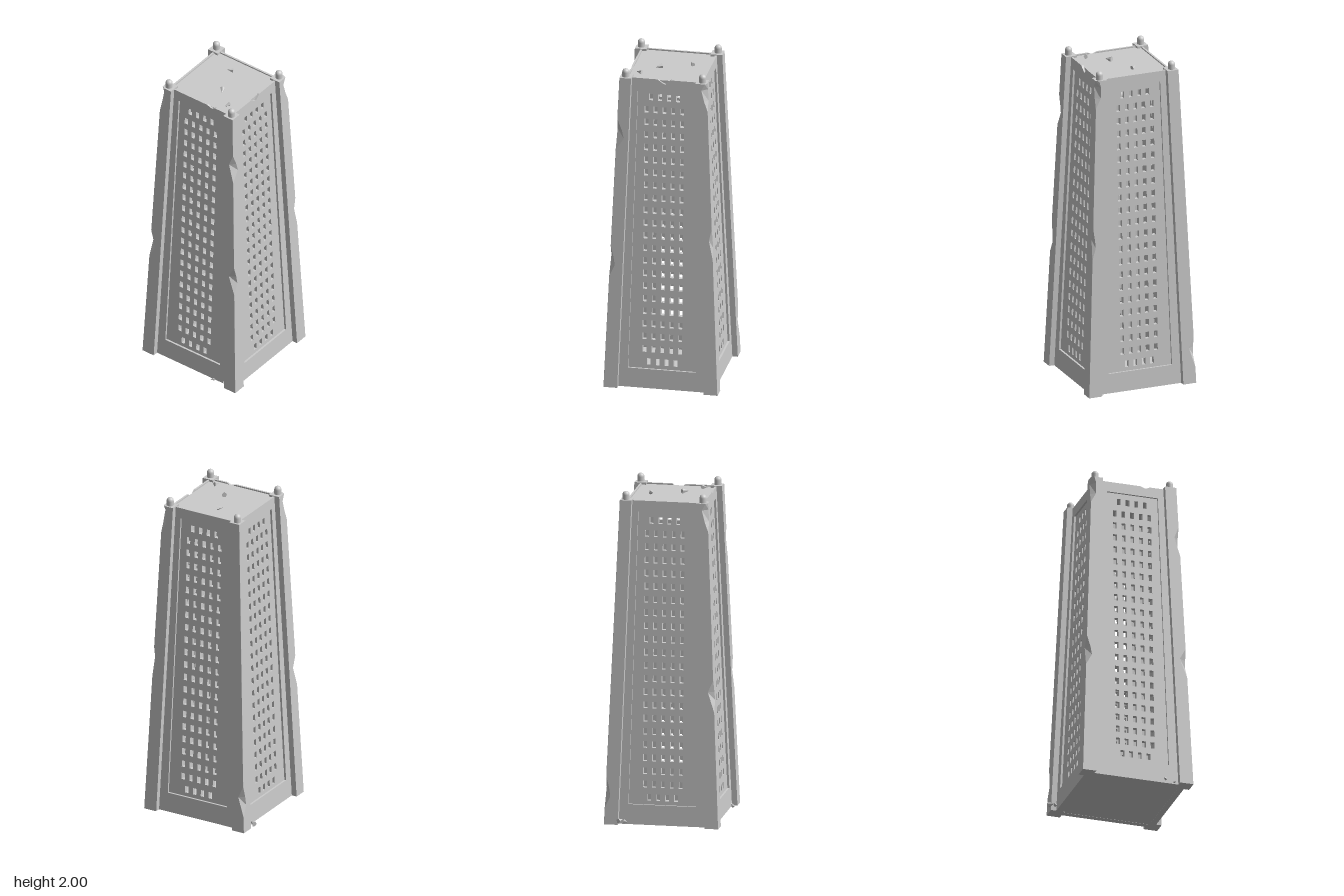
import * as THREE from 'three';

const H = 1.945, PILLAR_TOP = 1.95;
const mat = new THREE.MeshStandardMaterial({ color: 0xcccccc, flatShading: true, side: THREE.DoubleSide });
const smooth = new THREE.MeshStandardMaterial({ color: 0xcccccc });

// half width of the tapering body at height y
const half = y => 0.31 - 0.08 * y / H;
const lerp = (a, b, t) => a + (b - a) * t;

function add(parent, name, geometry, material = mat) {
  const m = new THREE.Mesh(geometry, material);
  m.name = name;
  parent.add(m);
  return m;
}

function polygon(points, Type = THREE.Shape) {
  return new Type(points.map(p => new THREE.Vector2(p[0], p[1])));
}

// extrude a wall layer and lean it along the taper; depth is measured in from the wall face
function leaningLayer(shape, depth, thickness) {
  const g = new THREE.ExtrudeGeometry(shape, { depth: thickness, bevelEnabled: false });
  const p = g.attributes.position;
  for (let i = 0; i < p.count; i++) p.setZ(i, p.getZ(i) + half(p.getY(i)) - depth - thickness);
  g.computeVertexNormals();
  return g;
}

// border around the recessed panel, with an optional chip [x, width, depth] in its top edge
function frameGeometry(chip) {
  const pts = [[-half(0), 0], [half(0), 0], [half(H), H]];
  if (chip) {
    const [x, w, d] = chip;
    pts.push([x + w / 2, H], [x + w * 0.1, H - d], [x - w * 0.2, H - d * 0.6], [x - w / 2, H]);
  }
  pts.push([-half(H), H]);
  const s = polygon(pts);
  s.holes.push(polygon([[-0.203, 0.12], [-0.158, 1.88], [0.158, 1.88], [0.203, 0.12]], THREE.Path));
  return leaningLayer(s, 0, 0.012);
}

// recessed panel pierced by the grid of windows
function panelGeometry() {
  const top = 1.93, a = half(0) - 0.012, b = half(top) - 0.012;
  const s = polygon([[-a, 0], [a, 0], [b, top], [-b, top]]);
  const rows = 22, pitch = 0.0537, w = 0.0115, h = 0.02;
  for (let r = 0; r < rows; r++) {
    const y = lerp(0.163, 1.826, r / (rows - 1));
    const n = r === 0 || r === rows - 1 ? 4 : 5;
    for (let c = 0; c < n; c++) {
      const x = (c - (n - 1) / 2) * pitch;
      s.holes.push(polygon([[x - w, y - h], [x - w, y + h], [x + w, y + h], [x + w, y - h]], THREE.Path));
    }
  }
  return leaningLayer(s, 0.012, 0.025);
}

// corner pillar in the +x +z quadrant; each level is [height, bite along x, bite along z]
function pillarGeometry(chips) {
  const levels = [[0, 0.001, 0.001], ...chips, [PILLAR_TOP, 0.001, 0.001]];
  if (chips.length && chips[chips.length - 1][0] >= PILLAR_TOP) levels.pop();
  const pos = [], idx = [], n = 5;
  for (const [y, cx, cz] of levels) {
    const t = y / PILLAR_TOP, o = lerp(0.343, 0.263, t), i = lerp(0.26, 0.193, t);
    for (const [x, z] of [[i, i], [o, i], [o, o - cz], [o - cx, o], [i, o]]) pos.push(x, y, z);
  }
  for (let l = 0; l < levels.length - 1; l++) {
    for (let k = 0; k < n; k++) {
      const p0 = l * n + k, p1 = l * n + (k + 1) % n;
      idx.push(p0, p0 + n, p1 + n, p0, p1 + n, p1);
    }
  }
  const e = (levels.length - 1) * n;
  for (let k = 1; k < n - 1; k++) idx.push(0, k, k + 1, e, e + k + 1, e + k);
  const g = new THREE.BufferGeometry();
  g.setAttribute('position', new THREE.Float32BufferAttribute(pos, 3));
  g.setIndex(idx);
  const flat = g.toNonIndexed();
  flat.computeVertexNormals();
  return flat;
}

// a broken edge around height y
const bite = (y, a = 0.04, b = 0.03) => [
  [y - 0.1, 0.001, 0.001], [y - 0.03, a * 0.6, b], [y + 0.02, a, b * 0.7], [y + 0.09, 0.001, 0.001]];
// a broken edge running out at the pillar top
const topBite = [[1.78, 0.001, 0.001], [1.84, 0.02, 0.03], [1.91, 0.035, 0.03], [PILLAR_TOP, 0.012, 0.018]];

export function createModel() {
  const model = new THREE.Group();
  const tower = new THREE.Group();
  tower.name = 'tower';
  tower.position.set(0.0125, 0, -0.0075);
  model.add(tower);

  // four walls, starting at the front and turning towards +x
  const panel = panelGeometry();
  const edgeChips = [[0.08, 0.06, 0.012], [0, 0.08, 0.03], null, null];
  edgeChips.forEach((chip, k) => {
    const wall = new THREE.Group();
    wall.name = 'wall' + (k + 1);
    wall.rotation.y = k * Math.PI / 2;
    add(wall, 'wallFrame', frameGeometry(chip));
    add(wall, 'windowPanel', panel);
    tower.add(wall);
  });

  // roof and floor slabs
  add(tower, 'roof', new THREE.BoxGeometry(0.438, 0.012, 0.438)).position.y = 1.931;
  add(tower, 'floor', new THREE.BoxGeometry(0.618, 0.01, 0.618)).position.y = 0.006;

  // corner pillars with domed finials
  const cornerChips = [
    [...bite(0.8), ...bite(1.6, 0.03, 0.045)],
    [...bite(0.95, 0.02, 0.02), ...topBite],
    bite(0.2, 0.035, 0.03),
    [...bite(0.8, 0.035, 0.035), ...topBite],
  ];
  const r = 0.021;
  const profile = [new THREE.Vector2(r, 0), new THREE.Vector2(r, 0.034)];
  for (let i = 0; i <= 8; i++) {
    const a = i / 8 * Math.PI / 2;
    profile.push(new THREE.Vector2(r * Math.cos(a), 0.034 + r * Math.sin(a)));
  }
  const finial = new THREE.LatheGeometry(profile, 24);
  cornerChips.forEach((chips, k) => {
    const corner = new THREE.Group();
    corner.name = 'corner' + (k + 1);
    corner.rotation.y = k * Math.PI / 2;
    add(corner, 'pillar', pillarGeometry(chips));
    add(corner, 'finial', finial, smooth).position.set(0.231, 1.945, 0.231);
    tower.add(corner);
  });

  // broken fragments on the roof and ground: [x, y, z, length, turn]
  const fragments = [
    [-0.028, 1.95, -0.12, 0.022, 0.4], [0.055, 1.948, 0.065, 0.026, 2.2], [0.162, 1.95, 0.16, 0.021, 1.2],
    [-0.332, 0.03, -0.25, 0.024, 2.7], [-0.322, 0.018, -0.22, 0.018, 1.0],
    [0.18, 0.018, 0.33, 0.015, 0.7], [0.25, 0.012, 0.31, 0.012, 1.9],
  ];
  const shard = new THREE.ConeGeometry(0.7, 1.7, 5);
  for (const [x, y, z, s, turn] of fragments) {
    const m = add(model, 'fragment', shard);
    m.position.set(x, y, z);
    m.scale.set(s, s, s * 0.85);
    m.rotation.set(0.5, turn, 1.2);
  }
  return model;
}
